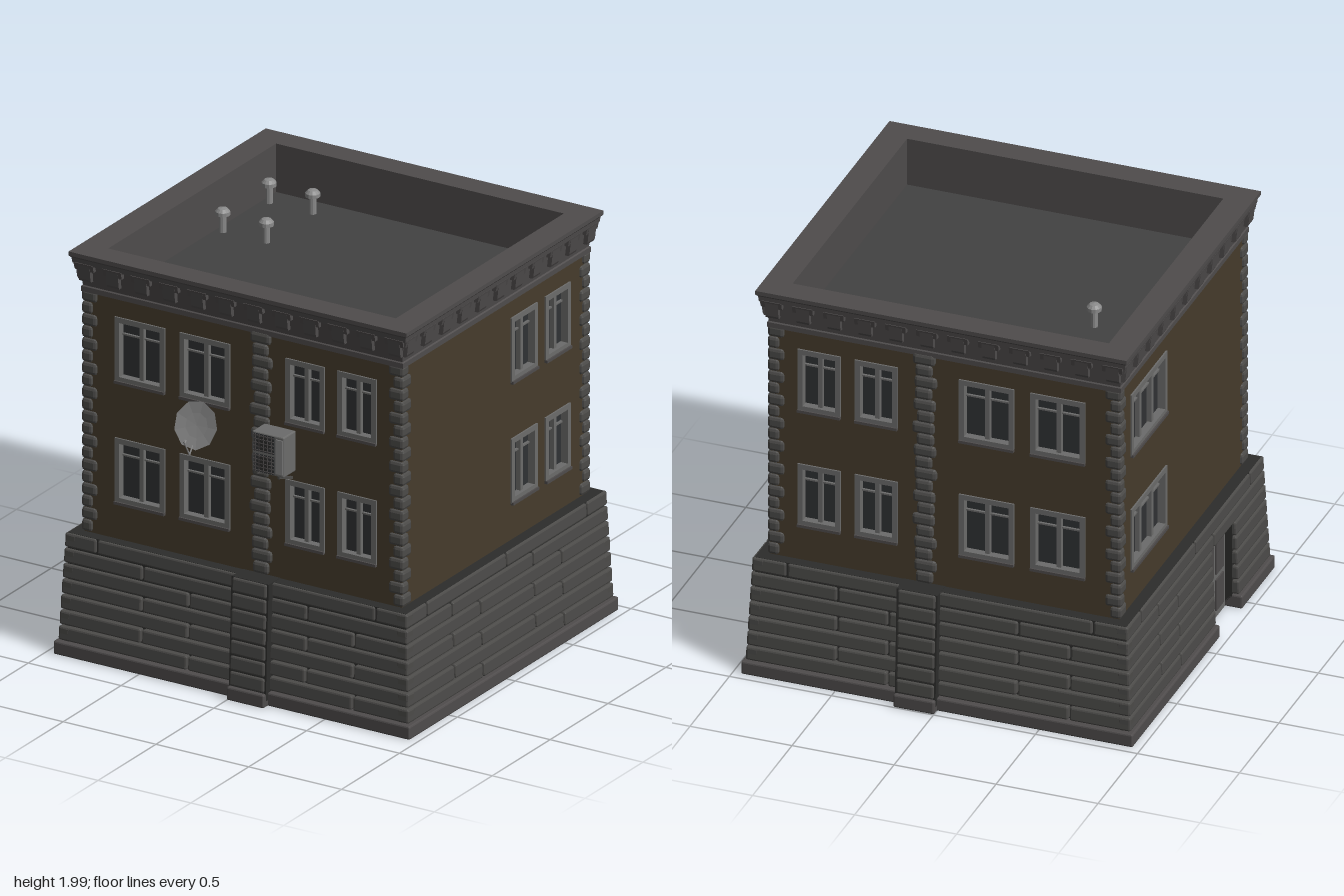
import * as THREE from 'three';
import { RoundedBoxGeometry } from 'three/addons/geometries/RoundedBoxGeometry.js';

const mat = (color, side = THREE.FrontSide) =>
  new THREE.MeshStandardMaterial({ color, side, flatShading: true });
const STONE = mat(0x4c4b49), JOINT = mat(0x2c2c2b), BRICK = mat(0x463c2c), TRIM = mat(0x4f4c4c);
const ROOF = mat(0x424242), FRAME = mat(0x6c6c6b), GLASS = mat(0x303234), METAL = mat(0x8a8a8a, THREE.DoubleSide);

const CZ = -0.055, HX = 0.855, HZ = 0.8; // wall centre and half sizes
const ROWS = 7, ROW_H = 0.535 / ROWS, DOOR_H = 0.452;

function add(parent, name, geometry, material, x = 0, y = 0, z = 0) {
  const m = new THREE.Mesh(geometry, material);
  m.name = name;
  m.position.set(x, y, z);
  parent.add(m);
  return m;
}
// box given by its limits
function block(parent, name, material, [x0, x1], [y0, y1], [z0, z1], bevel = 0) {
  const s = [x1 - x0, y1 - y0, z1 - z0];
  const g = bevel ? new RoundedBoxGeometry(...s, 1, bevel) : new THREE.BoxGeometry(...s);
  return add(parent, name, g, material, (x0 + x1) / 2, (y0 + y1) / 2, (z0 + z1) / 2);
}
// side profile of [outward, up] points, extruded from x0 to x1
function profile(parent, name, material, pts, x0, x1, z) {
  const shape = new THREE.Shape(pts.map(p => new THREE.Vector2(...p)));
  const g = new THREE.ExtrudeGeometry(shape, { depth: x1 - x0, bevelEnabled: false });
  g.rotateY(-Math.PI / 2);
  return add(parent, name, g, material, x1, 0, z);
}
function rect(Type, x0, x1, y0, y1) {
  return new Type([[x0, y0], [x1, y0], [x1, y1], [x0, y1]].map(p => new THREE.Vector2(...p)));
}
// flat panel with rectangular holes
function panel(parent, name, material, outer, holes, z0, z1) {
  const shape = rect(THREE.Shape, ...outer);
  holes.forEach(h => shape.holes.push(rect(THREE.Path, ...h)));
  return add(parent, name, new THREE.ExtrudeGeometry(shape, { depth: z1 - z0, bevelEnabled: false }), material, 0, 0, z0);
}
function rod(parent, name, a, b, r) {
  const path = new THREE.LineCurve3(new THREE.Vector3(...a), new THREE.Vector3(...b));
  return add(parent, name, new THREE.TubeGeometry(path, 1, r, 6), METAL);
}

function makeWindow(side, x0, x1, y0, y1, d, panes) {
  const w = new THREE.Group();
  w.name = 'window';
  side.add(w);
  const b = 0.026;
  panel(w, 'windowFrame', FRAME, [x0, x1, y0, y1], [[x0 + b, x1 - b, y0 + b, y1 - b]], d - 0.03, d + 0.008);
  block(w, 'glass', GLASS, [x0, x1], [y0, y1], [d - 0.042, d - 0.032]);
  for (let i = 1; i < panes; i++) {
    const x = x0 + (x1 - x0) * i / panes;
    block(w, 'mullion', FRAME, [x - 0.011, x + 0.011], [y0, y1], [d - 0.035, d - 0.008]);
  }
  block(w, 'transom', FRAME, [x0, x1], [y1 - 0.094, y1 - 0.086], [d - 0.035, d - 0.02]);
  block(w, 'sill', TRIM, [x0, x1], [y0 - 0.008, y0 + 0.006], [d - 0.01, d + 0.016]);
}

// one face of the building, built facing +z and then turned
function makeSide(root, { name, turn, w, d, windows, panes = 2, joints, corbels, pier, door }) {
  const s = new THREE.Group();
  s.name = name;
  s.position.z = CZ;
  s.rotation.y = turn;
  root.add(s);

  // wall with window openings on two floors, closed inside
  const holes = windows.flatMap(([a, b]) => [[a, b, 0.78, 1.1], [a, b, 1.38, 1.7]]);
  panel(s, 'wall', BRICK, [-w, w, 0.58, 1.82], holes, d - 0.045, d);
  block(s, 'innerWall', BRICK, [-w, w], [0.58, 1.8], [d - 0.055, d - 0.045]);
  holes.forEach(h => makeWindow(s, ...h, d, panes));

  // base backing and plinth, split around the door
  const split = e => door ? [[-w - e, door[0]], [door[1], w + e]] : [[-w - e, w + e]];
  split(0.055).forEach(x => block(s, 'baseCore', JOINT, x, [0.01, 0.598], [d, d + 0.055]));
  split(0).forEach(x => block(s, 'baseLining', TRIM, x, [0.005, 0.59], [d - 0.012, d]));
  split(0.105).forEach(x => block(s, 'plinth', TRIM, x, [0, 0.066], [d, d + 0.105], 0.008));

  // staggered courses of sloping stone blocks
  for (let i = 0; i < ROWS; i++) {
    const y1 = 0.6 - i * ROW_H, y0 = y1 - ROW_H;
    const e = 0.065 + 0.025 * (i + 0.5) / ROWS;
    const cut = door && y0 < DOOR_H - 0.01;
    const set = joints[i === 0 ? 0 : 2 - i % 2];
    const course = (name, x0, x1, out) =>
      block(s, name, STONE, [x0, x1], [y0 + 0.004, y1 - 0.004], [d + e - 0.06, d + e + out], 0.009).rotation.x = -0.047;
    let xs = [-w - e, ...set, w + e];
    if (cut) xs = [...xs.filter(x => x < door[0] || x > door[1]), ...door].sort((a, b) => a - b);
    for (let k = 0; k < xs.length - 1; k++) {
      if (cut && xs[k] === door[0]) continue;
      course('baseStone', xs[k] + (k === 0 ? 0 : 0.004), xs[k + 1] - (k === xs.length - 2 ? 0 : 0.004), 0);
    }
    if (pier !== undefined) course('pierStone', pier - 0.092, pier + 0.092, 0.045);
  }
  if (door) {
    block(s, 'doorLintel', JOINT, door, [DOOR_H, 0.598], [d - 0.005, d + 0.055]);
    block(s, 'door', FRAME, door, [0, DOOR_H], [d + 0.005, d + 0.02]);
    const [a, b] = door, m = (a + b) / 2;
    for (const [p, q] of [[a + 0.03, m - 0.015], [m + 0.015, b - 0.03]])
      for (const y of [[0.04, 0.2], [0.23, 0.42]]) block(s, 'doorPanel', TRIM, [p, q], y, [d + 0.015, d + 0.028]);
  }

  // central pier on the base with a quoin strip above
  if (pier !== undefined) {
    profile(s, 'pierCore', JOINT, [[0, 0.03], [0.124, 0.03], [0.099, 0.6], [0, 0.6]], pier - 0.1, pier + 0.1, d);
    block(s, 'pierPlinth', TRIM, [pier - 0.1, pier + 0.1], [0, 0.066], [d, d + 0.145], 0.008);
    for (let i = 0; i < 20; i++) {
      const hw = i % 2 ? 0.055 : 0.043, shift = 0.006 * Math.sin(i * 2.3);
      block(s, 'quoin', STONE, [pier - hw + shift, pier + hw + shift], [0.601 + i * 0.06, 0.66 + i * 0.06], [d - 0.03, d + 0.018], 0.016);
    }
  }

  // cornice corbels
  for (let i = 0; i < corbels; i++) {
    const x = -w + 0.02 + (2 * w - 0.04) * i / (corbels - 1);
    profile(s, 'corbel', TRIM, [[0, 1.85], [0.028, 1.85], [0.034, 1.862], [0.043, 1.94], [0, 1.94]], x - 0.032, x + 0.032, d);
    profile(s, 'corbelHead', TRIM, [[0, 1.905], [0.036, 1.905], [0.044, 1.94], [0, 1.94]], x - 0.05, x + 0.05, d);
  }
  return s;
}

export function createModel() {
  const root = new THREE.Group();
  root.name = 'building';

  const frontWins = [[-0.69, -0.42], [-0.34, -0.07], [0.23, 0.44], [0.51, 0.72]];
  const flip = list => list.map(([a, b]) => [-b, -a]);
  const longJoints = [[-0.75, 0.75], [-0.5, 0.385], [-0.25, 0.64]];
  const sideJoints = [[-0.685, 0, 0.695], [-0.475, 0.225], [-0.235, 0.465]];
  const long = { w: HX, d: HZ, joints: longJoints, corbels: 12 };
  const short = { w: HZ, d: HX, joints: sideJoints, corbels: 11 };
  makeSide(root, { ...long, name: 'frontSide', turn: 0, windows: frontWins, pier: 0.098 });
  makeSide(root, { ...long, name: 'backSide', turn: Math.PI, windows: flip(frontWins), pier: -0.098 });
  makeSide(root, { ...short, name: 'leftSide', turn: Math.PI / 2, windows: [[0.135, 0.36], [0.43, 0.645]] });
  makeSide(root, { ...short, name: 'rightSide', turn: -Math.PI / 2, windows: [[-0.66, -0.21]], panes: 3, door: [0.205, 0.485] });

  // corners: posts inside the base, and quoins with long and short faces alternating
  for (const sx of [-1, 1]) for (const sz of [-1, 1]) {
    add(root, 'cornerPost', new THREE.BoxGeometry(0.05, 0.58, 0.05), TRIM, sx * (HX - 0.035), 0.295, CZ + sz * (HZ - 0.035));
    for (let i = 0; i < 20; i++) {
      const [a, b] = i % 2 ? [0.082, 0.058] : [0.058, 0.082];
      add(root, 'cornerQuoin', new RoundedBoxGeometry(a, 0.059, b, 1, 0.015), STONE,
        sx * (HX + 0.013 - a / 2), 0.631 + i * 0.06, CZ + sz * (HZ + 0.013 - b / 2));
    }
  }

  // cornice and parapet: a four-sided ring
  const ring = [[-0.08, 1.79], [0.012, 1.79], [0.012, 1.815], [0.006, 1.82], [0.02, 1.93], [0.042, 1.935],
    [0.045, 1.96], [0.055, 1.97], [0.055, 1.99], [-0.08, 1.99], [-0.08, 1.74]];
  const cornice = new THREE.LatheGeometry(ring.map(([o, y]) => new THREE.Vector2((HX + o) * Math.SQRT2, y)), 4, Math.PI / 4);
  cornice.scale(1, 1, HZ / HX);
  add(root, 'cornice', cornice, TRIM, 0, 0, CZ);
  block(root, 'roof', ROOF, [-HX + 0.03, HX - 0.03], [1.72, 1.75], [CZ - HZ + 0.03, CZ + HZ - 0.03]);

  // roof vents
  for (const x of [-0.735, -0.5]) for (const z of [-0.655, -0.255]) {
    add(root, 'ventPipe', new THREE.CylinderGeometry(0.018, 0.018, 0.1, 10), METAL, x, 1.795, z);
    const cap = [[0, 0], [0.035, 0], [0.035, 0.018], [0.022, 0.032], [0, 0.037]].map(p => new THREE.Vector2(...p));
    add(root, 'ventCap', new THREE.LatheGeometry(cap, 12), METAL, x, 1.835, z);
  }

  // air conditioner with two fan grilles and brackets
  const ac = new THREE.Group();
  ac.name = 'airConditioner';
  root.add(ac);
  block(ac, 'acBody', FRAME, [0.12, 0.29], [1.155, 1.355], [0.755, 0.862], 0.006);
  block(ac, 'acSidePanel', METAL, [0.25, 0.283], [1.17, 1.34], [0.86, 0.867]);
  for (const y of [1.205, 1.305]) {
    block(ac, 'fanOpening', GLASS, [0.128, 0.24], [y - 0.044, y + 0.044], [0.855, 0.864]);
    const fan = add(ac, 'fan', new THREE.CylinderGeometry(0.036, 0.036, 0.004, 12), JOINT, 0.184, y, 0.865);
    fan.rotation.x = Math.PI / 2;
    for (let i = -2; i <= 2; i++) {
      block(ac, 'grilleBar', TRIM, [0.128, 0.24], [y + i * 0.018 - 0.002, y + i * 0.018 + 0.002], [0.865, 0.869]);
      block(ac, 'grilleBar', TRIM, [0.182 + i * 0.022, 0.186 + i * 0.022], [y - 0.044, y + 0.044], [0.865, 0.869]);
    }
  }
  for (const x of [0.145, 0.262]) {
    block(ac, 'acBracket', STONE, [x - 0.005, x + 0.005], [1.145, 1.157], [0.735, 0.862]);
    profile(ac, 'acBrace', STONE, [[0, 1.105], [0, 1.118], [0.11, 1.155], [0.12, 1.148]], x - 0.005, x + 0.005, 0.74);
  }

  // satellite dish, tilted upwards, with its feed arm and wall mount
  const dish = new THREE.Group();
  dish.name = 'satelliteDish';
  root.add(dish);
  const bowl = [[0.001, -0.01], [0.06, -0.007], [0.115, 0]].map(p => new THREE.Vector2(...p));
  const reflector = add(dish, 'reflector', new THREE.LatheGeometry(bowl, 9, 0.2), METAL, -0.165, 1.328, 0.892);
  reflector.rotation.x = Math.PI / 2 - 0.345;
  rod(dish, 'feedArm', [-0.165, 1.24, 0.92], [-0.165, 1.2, 0.945], 0.004);
  rod(dish, 'feedArm', [-0.165, 1.2, 0.945], [-0.165, 1.285, 0.995], 0.004);
  rod(dish, 'feedHorn', [-0.165, 1.275, 0.99], [-0.165, 1.287, 0.98], 0.006);
  rod(dish, 'wallMount', [-0.165, 1.32, 0.88], [-0.165, 1.27, 0.8], 0.007);
  rod(dish, 'wallMount', [-0.165, 1.27, 0.8], [-0.165, 1.27, 0.74], 0.007);
  return root;
}
